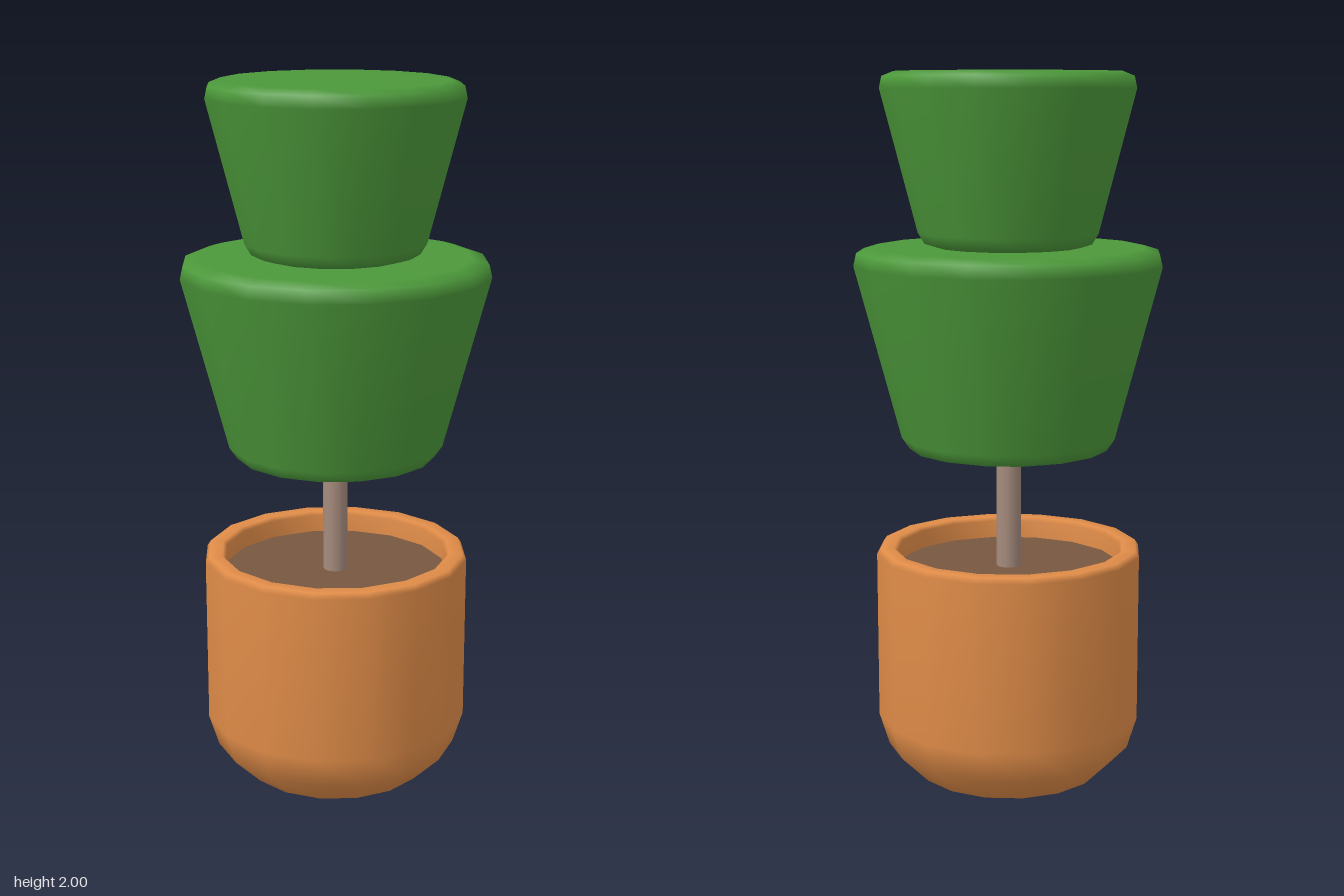
import * as THREE from 'three';

const SIDES = 16;

function material(name, color) {
  const m = new THREE.MeshStandardMaterial({ color });
  m.name = name;
  return m;
}

// Smooth 16-sided turned part from [radius, height] points, listed bottom to top
function turned(name, points, mat) {
  const profile = points.map(([r, y]) => new THREE.Vector2(r, y));
  const mesh = new THREE.Mesh(new THREE.LatheGeometry(profile, SIDES), mat);
  mesh.name = name;
  return mesh;
}

export function createModel() {
  const leaf = material('leaf green', 0x4c983a);
  const clay = material('terracotta', 0xe08c48);
  const bark = material('bark', 0xa58a7c);
  const earth = material('soil brown', 0x785840);

  const model = new THREE.Group();
  model.name = 'pottedTopiary';

  // Hollow pot: rounded base, straight wall, bevelled rim and inner wall
  model.add(turned('pot', [
    [0, 0], [0.16, 0.005], [0.265, 0.035], [0.345, 0.115], [0.373, 0.205],
    [0.373, 0.675], [0.363, 0.69], [0.325, 0.69], [0.315, 0.68], [0.315, 0.6],
  ], clay));

  // Soil surface inside the pot
  const soil = new THREE.Mesh(new THREE.CircleGeometry(0.318, SIDES), earth);
  soil.name = 'soil';
  soil.rotation.x = -Math.PI / 2;
  soil.position.y = 0.63;
  model.add(soil);

  // Thin trunk
  const trunk = new THREE.Mesh(new THREE.CylinderGeometry(0.035, 0.035, 0.42, SIDES), bark);
  trunk.name = 'trunk';
  trunk.position.y = 0.81;
  model.add(trunk);

  // Two flared, soft-edged foliage tiers
  model.add(turned('lowerFoliage', [
    [0, 0.963], [0.235, 0.963], [0.278, 0.973], [0.3, 1.005],
    [0.426, 1.482], [0.418, 1.517], [0.375, 1.53], [0, 1.53],
  ], leaf));
  model.add(turned('upperFoliage', [
    [0, 1.53], [0.2, 1.53], [0.232, 1.54], [0.25, 1.57],
    [0.35, 1.955], [0.343, 1.987], [0.31, 2], [0, 2],
  ], leaf));

  return model;
}
